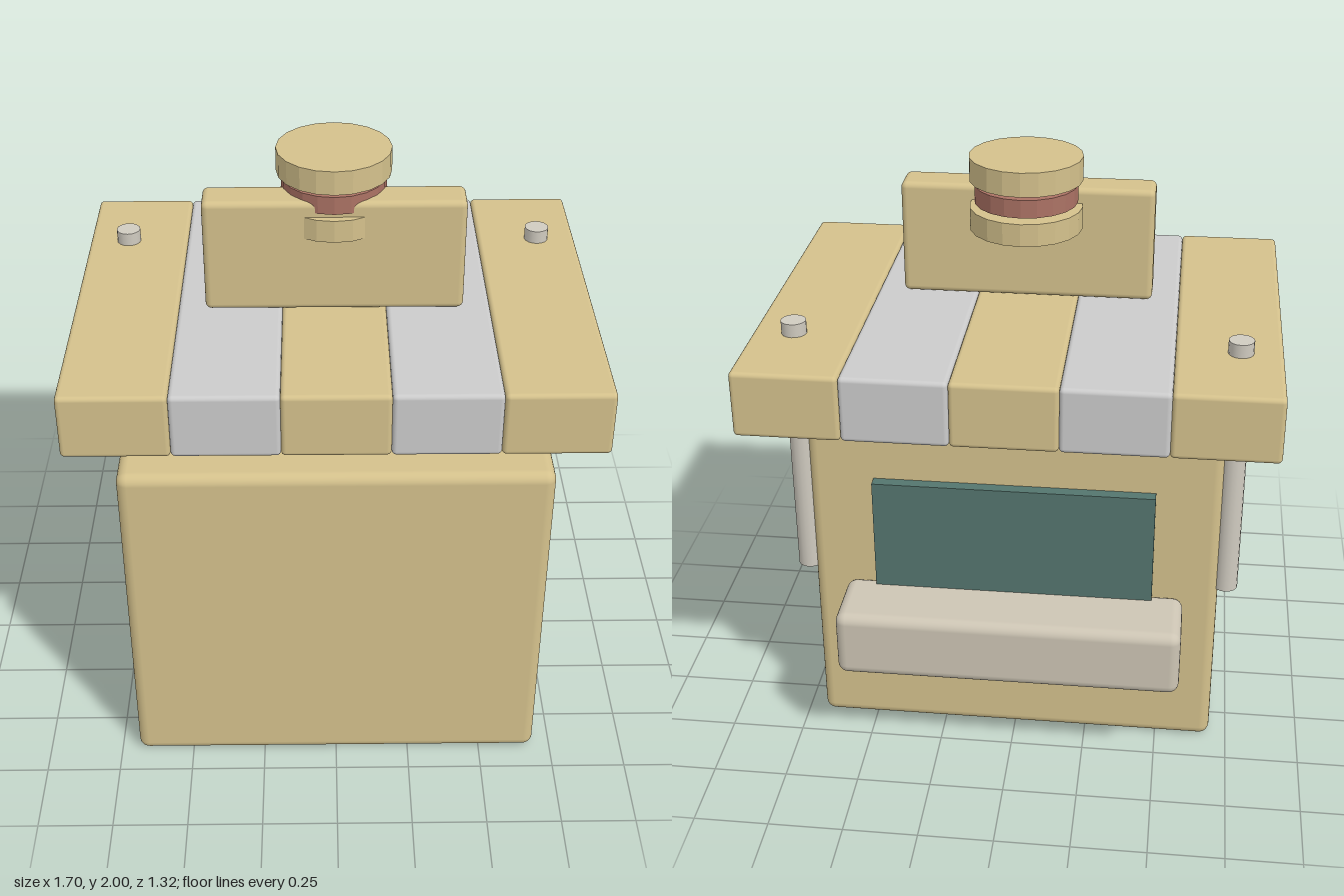
import * as THREE from 'three';
import { RoundedBoxGeometry } from 'three/addons/geometries/RoundedBoxGeometry.js';

const mat = (color, flatShading = false) => new THREE.MeshStandardMaterial({ color, flatShading });

export function createModel() {
  const group = new THREE.Group();
  const tan = mat(0xd4c18c);
  const tanFlat = mat(0xd4c18c, true);
  const pale = mat(0xd6d5d2);
  const stone = mat(0xcdc5b4);
  const poleMat = mat(0xd0cbc0);
  const glass = mat(0x54756e);
  const red = mat(0xab7264, true);

  const add = (name, geometry, material, x, y, z) => {
    const mesh = new THREE.Mesh(geometry, material);
    mesh.name = name;
    mesh.position.set(x, y, z);
    group.add(mesh);
  };

  // Box given by its lower and upper limits, with rounded edges if r > 0
  const block = (name, material, [x0, x1], [y0, y1], [z0, z1], r) => {
    const size = [x1 - x0, y1 - y0, z1 - z0];
    const geometry = r ? new RoundedBoxGeometry(...size, 3, r) : new THREE.BoxGeometry(...size);
    add(name, geometry, material, (x0 + x1) / 2, (y0 + y1) / 2, (z0 + z1) / 2);
  };

  const disc = (name, material, radius, y0, y1, x, z, sides) =>
    add(name, new THREE.CylinderGeometry(radius, radius, y1 - y0, sides), material, x, (y0 + y1) / 2, z);

  // Stall body with serving window and counter at the back
  block('body', tan, [-0.69, 0.69], [0.005, 1.19], [-0.39, 0.66], 0.035);
  block('servingWindow', glass, [-0.47, 0.47], [0.5, 0.99], [-0.43, -0.38], 0);
  block('counter', stone, [-0.575, 0.575], [0.36, 0.595], [-0.64, -0.385], 0.035);

  // Striped awning roof
  const stripe = 0.34;
  for (let i = 0; i < 5; i++) {
    const x = (i - 2.5) * stripe;
    block('awningStripe' + (i + 1), i % 2 ? pale : tan, [x, x + stripe], [1.27, 1.49], [-0.66, 0.66], 0.015);
  }

  // Awning poles
  for (const side of [-1, 1]) {
    disc(side > 0 ? 'leftPole' : 'rightPole', poleMat, 0.041, 0.62, 1.535, side * 0.715, -0.345, 16);
  }

  // Sign board and the stacked bun on the roof
  block('signBoard', tan, [-0.42, 0.42], [1.495, 1.88], [0.02, 0.15], 0.02);
  disc('lowerBun', tanFlat, 0.186, 1.755, 1.83, 0, -0.007, 20);
  disc('filling', red, 0.17, 1.845, 1.905, 0, -0.007, 20);
  disc('upperBun', tanFlat, 0.186, 1.92, 2.0, 0, -0.007, 20);

  return group;
}
